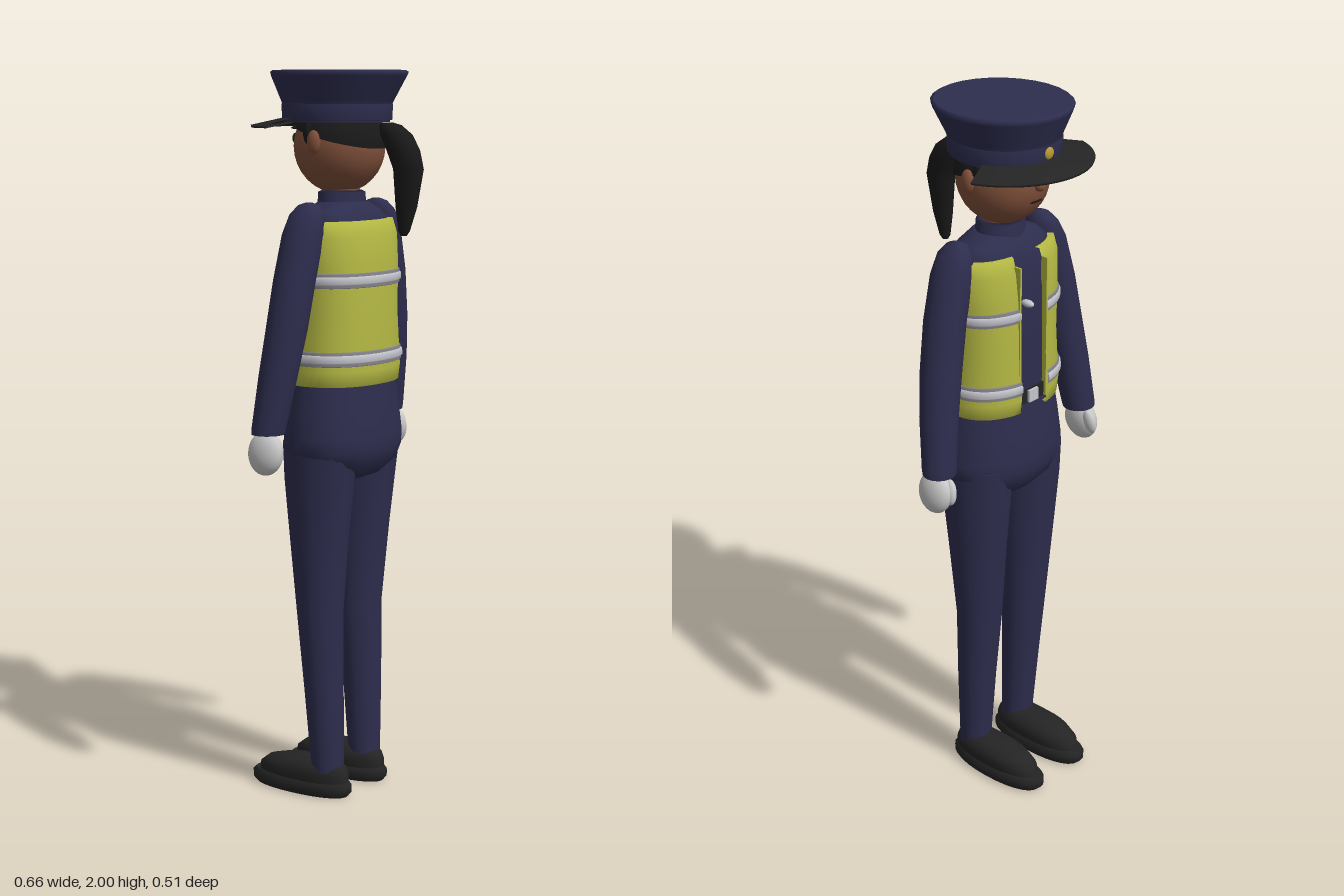
import * as THREE from 'three';

const mat = (name, color, side = THREE.FrontSide) => {
  const m = new THREE.MeshStandardMaterial({ color, side });
  m.name = name;
  return m;
};

// Skin over stacked horizontal sections [y, rx, rz, cx, cz], listed bottom to top.
// opt.n squares the section, opt.gap opens it towards -z, opt.from / opt.to set an arc.
function loft(sections, opt = {}) {
  const { n = 2, seg = 28, gap = 0, caps = true } = opt;
  const from = opt.from ?? -Math.PI / 2 + gap;
  const to = opt.to ?? Math.PI * 1.5 - gap;
  const open = gap > 0 || opt.from !== undefined;
  const cols = open ? seg + 1 : seg;
  const pos = [], idx = [];
  const pw = (v) => Math.sign(v) * Math.pow(Math.abs(v), 2 / n);
  const ring = ([y, rx, rz, cx = 0, cz = 0]) => {
    for (let j = 0; j < cols; j++) {
      const t = from + ((to - from) * j) / seg;
      pos.push(cx + rx * pw(Math.cos(t)), y, cz + rz * pw(Math.sin(t)));
    }
  };
  sections.forEach(ring);
  for (let i = 0; i < sections.length - 1; i++) {
    for (let j = 0; j < seg; j++) {
      const k = (j + 1) % cols;
      const a = i * cols + j, b = i * cols + k, c = a + cols, d = b + cols;
      idx.push(a, c, b, b, c, d);
    }
  }
  if (!open && caps) {
    [sections[0], sections[sections.length - 1]].forEach((s, e) => {
      const base = pos.length / 3;
      ring(s);
      pos.push(s[3] ?? 0, s[0], s[4] ?? 0);
      for (let j = 0; j < seg; j++) {
        const p = base + j, q = base + ((j + 1) % seg), m = base + seg;
        e ? idx.push(m, q, p) : idx.push(m, p, q);
      }
    });
  }
  const g = new THREE.BufferGeometry();
  g.setAttribute('position', new THREE.Float32BufferAttribute(pos, 3));
  g.setIndex(idx);
  g.computeVertexNormals();
  return g;
}

// Vest outline [y, rx, rz], interpolated for the reflective bands
const VEST = [[1.16, 0.176, 0.128], [1.2, 0.179, 0.133], [1.35, 0.17, 0.127],
  [1.48, 0.178, 0.124], [1.56, 0.185, 0.114], [1.6, 0.177, 0.1]];
function vestAt(y, grow) {
  const i = Math.max(1, VEST.findIndex((s) => s[0] >= y));
  const a = VEST[i - 1], b = VEST[i], t = (y - a[0]) / (b[0] - a[0]);
  return [y, a[1] + (b[1] - a[1]) * t + grow, a[2] + (b[2] - a[2]) * t + grow];
}

export function createModel() {
  const model = new THREE.Group();
  model.name = 'officer';
  const navy = mat('navy cloth', 0x2d2d4e);
  const yellow = mat('vest yellow', 0xb4b843, THREE.DoubleSide);
  const white = mat('reflective white', 0xc4c4cc, THREE.DoubleSide);
  const grey = mat('band edge grey', 0x85858a, THREE.DoubleSide);
  const black = mat('black leather', 0x242424, THREE.DoubleSide);
  const hair = mat('hair black', 0x191919);
  const skin = mat('skin brown', 0x80503a);
  const glove = mat('glove white', 0xc8c8c8);
  const gold = mat('badge gold', 0xb89a35);

  const add = (name, geo, material, parent = model) => {
    const m = new THREE.Mesh(geo, material);
    m.name = name;
    parent.add(m);
    return m;
  };
  const ball = (name, material, p, s, rot = [0, 0, 0], parent = model) => {
    const m = add(name, new THREE.SphereGeometry(1, 24, 16), material, parent);
    m.position.set(...p);
    m.scale.set(...s);
    m.rotation.set(...rot);
    return m;
  };

  // Body: hips, torso, collar
  add('hips', loft([[0.89, 0.06, 0.05], [0.905, 0.115, 0.09], [0.94, 0.175, 0.122], [0.98, 0.196, 0.134],
    [1.02, 0.198, 0.134], [1.1, 0.187, 0.126], [1.18, 0.172, 0.117]], { n: 2.2 }), navy);
  add('torso', loft([[1.15, 0.17, 0.115], [1.35, 0.16, 0.116], [1.5, 0.168, 0.112], [1.59, 0.168, 0.095],
    [1.625, 0.13, 0.078], [1.65, 0.07, 0.062]], { n: 2.3 }), navy);
  add('collar', loft([[1.6, 0.075, 0.066, 0, -0.005], [1.675, 0.068, 0.062, 0, -0.005],
    [1.68, 0.055, 0.052, 0, -0.005], [1.65, 0.048, 0.045, 0, -0.005]]), navy);
  add('neck', loft([[1.6, 0.046, 0.042], [1.72, 0.046, 0.042]]), skin);

  // Belt and buckle
  add('belt', loft([[1.18, 0.174, 0.121], [1.22, 0.17, 0.121]], { n: 2.3 }), black);
  const buckle = add('buckle', new THREE.BoxGeometry(0.036, 0.034, 0.009), white);
  buckle.position.set(0, 1.2, -0.124);

  // Open vest with turned-in hems and two reflective bands
  const cut = { n: 2.3, gap: 0.235, seg: 40 };
  add('vest', loft([[1.165, 0.165, 0.115], ...VEST, [1.602, 0.15, 0.085]], cut), yellow);
  for (const side of [-1, 1]) {
    const edge = add('vestEdge', new THREE.BoxGeometry(0.006, 0.4, 0.02), yellow);
    edge.position.set(side * 0.052, 1.38, -0.116);
  }
  for (const y of [1.235, 1.445]) {
    add('bandEdge', loft([vestAt(y - 0.02, 0), vestAt(y - 0.018, 0.004), vestAt(y + 0.018, 0.004),
      vestAt(y + 0.02, 0)], cut), grey);
    add('band', loft([vestAt(y - 0.012, 0.003), vestAt(y - 0.008, 0.008), vestAt(y + 0.008, 0.008),
      vestAt(y + 0.012, 0.003)], cut), white);
  }
  ball('chestBadge', white, [0.035, 1.48, -0.135], [0.011, 0.01, 0.02]);

  for (const s of [-1, 1]) {
    // Arms and gloved hands
    const arm = new THREE.Group();
    arm.name = s > 0 ? 'leftArm' : 'rightArm';
    model.add(arm);
    add('sleeve', loft([[1.042, 0.046, 0.044, s * 0.283, -0.046], [1.06, 0.048, 0.046, s * 0.281, -0.044],
      [1.2, 0.053, 0.052, s * 0.262, -0.027], [1.32, 0.056, 0.056, s * 0.24, -0.015],
      [1.45, 0.057, 0.057, s * 0.215, -0.007], [1.57, 0.056, 0.057, s * 0.182, -0.002],
      [1.62, 0.043, 0.05, s * 0.167, 0], [1.645, 0.026, 0.03, s * 0.16, 0],
      [1.652, 0.008, 0.01, s * 0.158, 0]]), navy, arm);
    ball('hand', glove, [s * 0.297, 0.992, -0.044], [0.032, 0.06, 0.054], [0, 0, s * 0.1], arm);
    ball('thumb', glove, [s * 0.284, 1.0, -0.086], [0.014, 0.036, 0.02], [0.2, 0, s * 0.15], arm);

    // Legs and shoes
    const leg = new THREE.Group();
    leg.name = s > 0 ? 'leftLeg' : 'rightLeg';
    model.add(leg);
    add('trouserLeg', loft([[0.07, 0.045, 0.045, s * 0.09, 0.01], [0.3, 0.056, 0.054, s * 0.093, 0],
      [0.52, 0.067, 0.063, s * 0.094, -0.012], [0.75, 0.08, 0.084, s * 0.099, -0.011],
      [0.9, 0.09, 0.1, s * 0.1, -0.009], [1.0, 0.092, 0.11, s * 0.1, -0.005]]), navy, leg);
    add('sole', loft([[0, 0.055, 0.152, s * 0.088, -0.08], [0.012, 0.063, 0.163, s * 0.088, -0.081],
      [0.03, 0.063, 0.164, s * 0.088, -0.081], [0.04, 0.056, 0.155, s * 0.088, -0.08]], { n: 2.2 }), black, leg);
    add('shoe', loft([[0.035, 0.055, 0.147, s * 0.088, -0.074], [0.06, 0.06, 0.145, s * 0.088, -0.072],
      [0.08, 0.054, 0.128, s * 0.088, -0.063], [0.095, 0.038, 0.092, s * 0.088, -0.045],
      [0.1, 0.015, 0.05, s * 0.088, -0.03]], { n: 2.2 }), black, leg);

    // Ears, eyes, brows and side hair
    ball('ear', skin, [s * 0.126, 1.81, -0.008], [0.014, 0.032, 0.02]);
    ball('eye', hair, [s * 0.044, 1.818, -0.126], [0.012, 0.015, 0.006], [0, s * 0.35, 0]);
    ball('brow', hair, [s * 0.046, 1.848, -0.119], [0.021, 0.005, 0.006], [0, s * 0.4, s * -0.1]);
    ball('sideHair', hair, [s * 0.118, 1.84, -0.035], [0.01, 0.035, 0.012]);
  }

  // Head and face
  ball('head', skin, [0, 1.797, -0.013], [0.122, 0.127, 0.126]);
  ball('nose', skin, [0, 1.797, -0.141], [0.013, 0.015, 0.016]);
  ball('mouth', hair, [0, 1.752, -0.13], [0.024, 0.003, 0.004], [0.3, 0, 0]);

  // Hair and ponytail
  const cap = add('hairCap', new THREE.SphereGeometry(0.129, 28, 14, 0, Math.PI * 2, 0, Math.PI * 0.44), hair);
  cap.position.set(0, 1.8, -0.012);
  cap.rotation.x = 0.25;
  add('ponytail', loft([[1.563, 0.008, 0.008, 0, 0.197], [1.575, 0.014, 0.016, 0, 0.198],
    [1.64, 0.023, 0.031, 0, 0.205], [1.74, 0.032, 0.044, 0, 0.211], [1.79, 0.036, 0.048, 0, 0.194],
    [1.83, 0.036, 0.046, 0, 0.172], [1.855, 0.024, 0.032, 0, 0.153],
    [1.862, 0.008, 0.015, 0, 0.145]], { seg: 14 }), hair);

  // Peaked cap: crown, flat lid, band, brim and badge
  add('capCrown', loft([[1.862, 0.141, 0.143, 0, -0.02], [1.905, 0.144, 0.148, 0, -0.02],
    [1.92, 0.15, 0.155, 0, -0.019], [1.985, 0.176, 0.188, 0, -0.014], [1.995, 0.178, 0.192, 0, -0.013],
    [2.0, 0.172, 0.184, 0, -0.014]]), navy);
  add('capBand', loft([[1.866, 0.141, 0.143, 0, -0.02], [1.868, 0.148, 0.15, 0, -0.02],
    [1.91, 0.149, 0.152, 0, -0.02], [1.913, 0.142, 0.146, 0, -0.02]], { caps: false }), navy);
  add('capBrim', loft([[1.862, 0.135, 0.137, 0, -0.02], [1.847, 0.226, 0.236, 0, -0.02],
    [1.854, 0.228, 0.238, 0, -0.02], [1.876, 0.135, 0.137, 0, -0.02]],
  { from: -Math.PI + 0.35, to: -0.35 }), black);
  ball('capBadge', gold, [0, 1.892, -0.173], [0.016, 0.016, 0.006]);

  return model;
}
